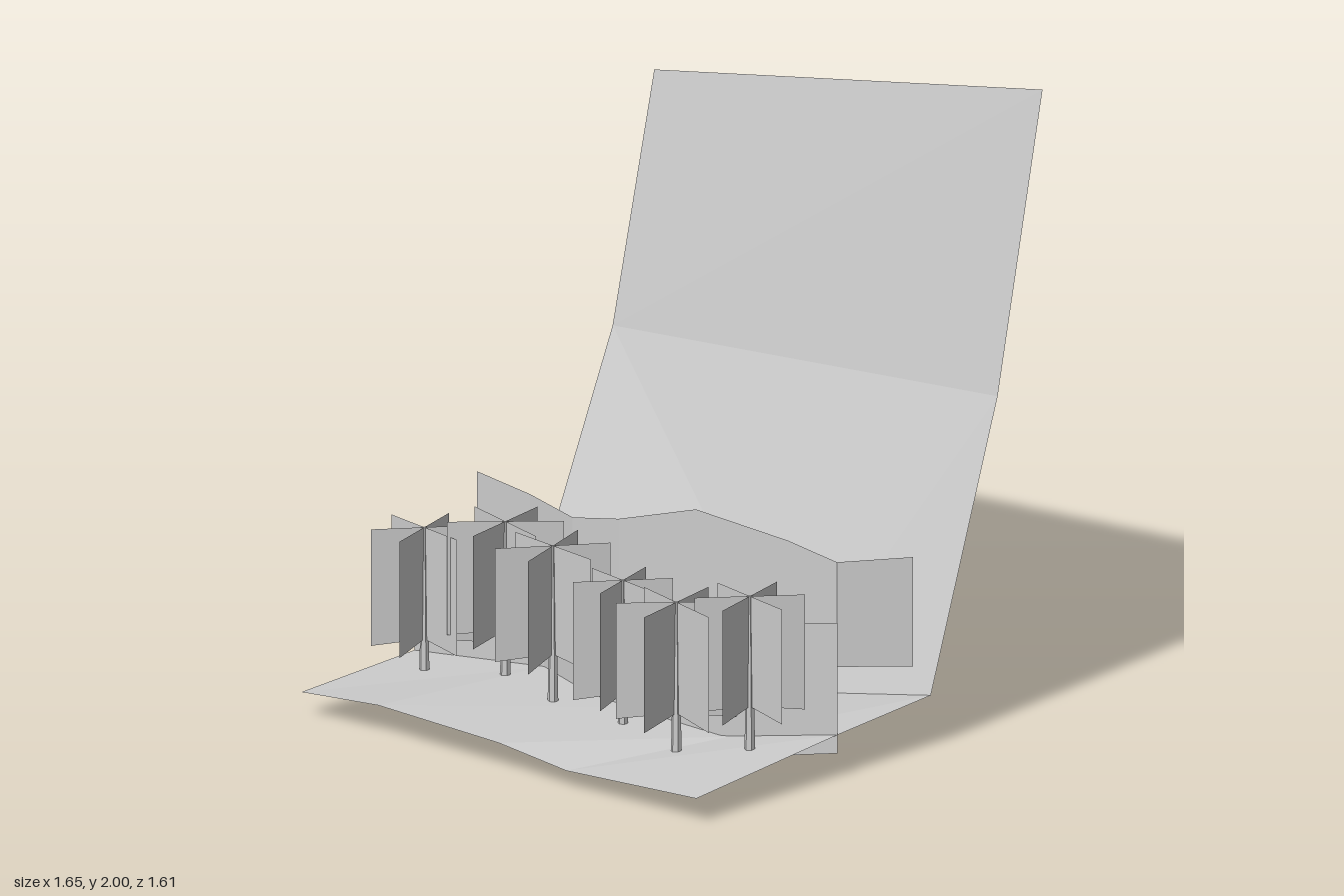
import * as THREE from 'three';

const material = new THREE.MeshStandardMaterial({ color: 0xcccccc, flatShading: true, side: THREE.DoubleSide });

// Faceted sheet from points and triangle indices
function sheet(name, points, index) {
  const geo = new THREE.BufferGeometry();
  geo.setAttribute('position', new THREE.Float32BufferAttribute(points.flat(), 3));
  geo.setIndex(index);
  const flat = geo.toNonIndexed();
  flat.computeVertexNormals();
  const mesh = new THREE.Mesh(flat, material);
  mesh.name = name;
  return mesh;
}

// Sheet lofted through rows of equal length, listed from near/bottom to far/top
function loft(name, rows) {
  const n = rows[0].length, index = [];
  for (let r = 0; r < rows.length - 1; r++) {
    for (let i = 0; i < n - 1; i++) {
      const a = r * n + i, b = a + n;
      index.push(a, a + 1, b + 1, a, b + 1, b);
    }
  }
  return sheet(name, rows.flat(), index);
}

// Upright folded panel; each entry is x, z, bottom, top
function panel(name, folds) {
  return loft(name, [
    folds.map(([x, z, low]) => [x, low, z]),
    folds.map(([x, z, , high]) => [x, high, z]),
  ]);
}

// Thin six-sided trunk with three crossed foliage cards
function tree([x, z, base, low, top, reach, turn]) {
  const group = new THREE.Group();
  group.name = 'tree';
  group.position.set(x, 0, z);
  const trunk = new THREE.Mesh(new THREE.CylinderGeometry(0.006, 0.017, top - base, 6), material);
  trunk.name = 'trunk';
  trunk.position.y = (base + top) / 2;
  group.add(trunk);
  for (const angle of [0, 65, 120]) {
    const card = loft('foliageCard', [
      [[-reach, low, 0], [0, low + 0.015, 0], [reach, low, 0]],
      [[-reach, top, 0], [0, top, 0], [reach, top, 0]],
    ]);
    card.rotation.y = -THREE.MathUtils.degToRad(angle + turn);
    group.add(card);
  }
  return group;
}

export function createModel() {
  const model = new THREE.Group();
  model.name = 'treeScene';

  // Uneven ground
  model.add(loft('ground', [
    [[-0.82, 0.08, 0.8], [-0.5, 0.105, 0.8], [0, 0.09, 0.8], [0.28, 0.06, 0.8], [0.82, 0.085, 0.8]],
    [[-0.82, 0.095, 0.285], [-0.37, 0.115, 0.185], [0.09, 0.105, 0.29], [0.5, 0.1, 0.3], [0.82, 0.14, 0.155]],
    [[-0.82, 0.1, -0.24], [-0.33, 0.13, -0.25], [0, 0.1, -0.237], [0.28, 0.075, -0.225], [0.82, 0.168, -0.27]],
  ]));

  // Tall leaning slope behind the ground
  model.add(sheet('backSlope', [
    [-0.82, 0.1, -0.24], [-0.33, 0.13, -0.25], [0.28, 0.075, -0.225], [0.82, 0.168, -0.27],
    [-0.82, 0.93, -0.62], [0.82, 1.06, -0.575],
    [-0.82, 1.71, -0.81], [0.82, 2, -0.78],
  ], [0, 1, 4, 1, 2, 4, 2, 5, 4, 2, 3, 5, 4, 5, 7, 4, 7, 6]));

  // Folded hedge panels, the front one sunk through the ground
  model.add(panel('frontHedge', [
    [-0.82, 0.285, 0.08, 0.45], [-0.37, 0.187, 0.04, 0.535], [-0.1, 0.28, 0.02, 0.46],
    [0.09, 0.295, 0.003, 0.43], [0.47, 0.308, 0.028, 0.46], [0.82, 0.155, 0.08, 0.5],
  ]));
  model.add(panel('backHedge', [
    [-0.82, 0, 0.28, 0.605], [-0.6, 0, 0.275, 0.578], [-0.37, 0.057, 0.27, 0.565],
    [-0.18, 0.055, 0.265, 0.6], [0.09, 0, 0.255, 0.675], [0.45, -0.025, 0.27, 0.645],
    [0.64, -0.04, 0.275, 0.612], [0.82, -0.19, 0.28, 0.632],
  ]));

  // Row of trees: x, z, trunk base, foliage bottom, top, card reach, turn
  for (const spec of [
    [-0.66, 0.415, 0.05, 0.18, 0.555, 0.165, 10],
    [-0.41, 0.32, 0.1, 0.24, 0.605, 0.18, 16],
    [-0.135, 0.405, 0.1, 0.24, 0.605, 0.18, 8],
    [0.165, 0.415, 0.055, 0.18, 0.56, 0.155, 10],
    [0.455, 0.49, 0.085, 0.195, 0.568, 0.185, 15],
    [0.66, 0.38, 0.11, 0.235, 0.605, 0.17, 12],
  ]) model.add(tree(spec));

  return model;
}
